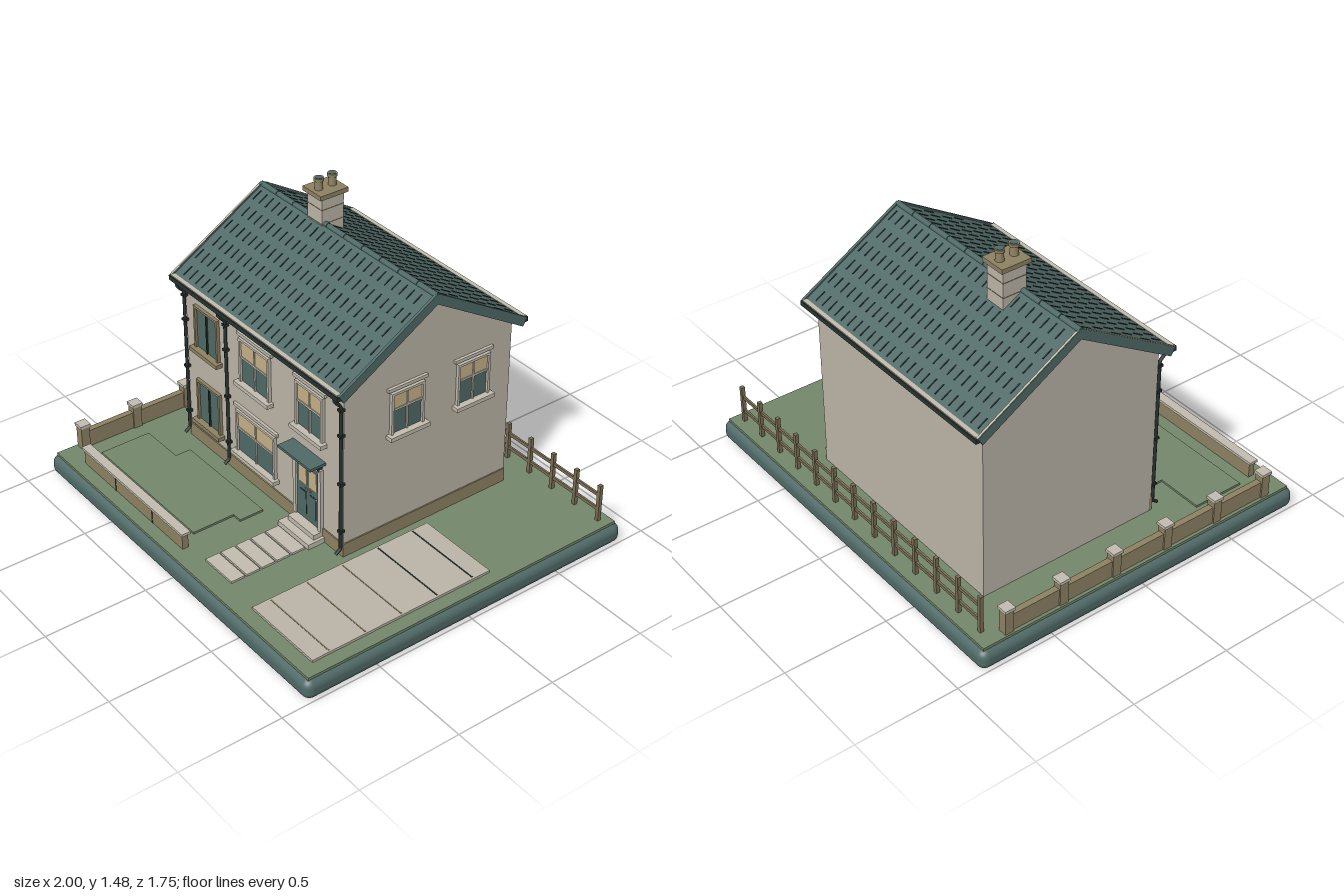
import * as THREE from 'three';
import { RoundedBoxGeometry } from 'three/addons/geometries/RoundedBoxGeometry.js';

const mat = (name, color) => Object.assign(new THREE.MeshStandardMaterial({ color }), { name });
const wallMat = mat('render', 0xbcb5a8);
const trimMat = mat('pale stone', 0xc3bdb0);
const slate = mat('slate', 0x506a67);
const dark = mat('dark iron', 0x27332f);
const grassMat = mat('grass', 0x74876a);
const brown = mat('brown stone', 0x8d8263);
const cream = mat('cream blind', 0xc6b088);
const wood = mat('fence wood', 0x7a6f55);

function add(parent, name, geo, material, x = 0, y = 0, z = 0) {
  const m = new THREE.Mesh(geo, material);
  m.name = name;
  m.position.set(x, y, z);
  parent.add(m);
  return m;
}
// box given by its limits on each axis
function box(parent, name, material, x0, x1, y0, y1, z0, z1) {
  return add(parent, name, new THREE.BoxGeometry(x1 - x0, y1 - y0, z1 - z0), material,
    (x0 + x1) / 2, (y0 + y1) / 2, (z0 + z1) / 2);
}
function group(parent, name, x = 0, y = 0, z = 0) {
  const g = new THREE.Group();
  g.name = name;
  g.position.set(x, y, z);
  parent.add(g);
  return g;
}

const G = 0.11;                          // ground level
const RIDGE_Y = 1.28, RIDGE_Z = -0.2;
const PITCH = Math.atan(0.305 / 0.51);

// window facing +z, origin at the middle of its bottom edge
function windowUnit(parent, name, x, y, z, w, h, blind, edge = trimMat) {
  const g = group(parent, name, x, y, z), r = w / 2, t = 0.012;
  box(g, 'glass', slate, -r, r, 0, h, 0, 0.004);
  if (blind) box(g, 'blind', cream, -r, r, h * (1 - blind), h, 0.003, 0.007);
  for (const s of [-1, 1]) box(g, 'jamb', edge, s * r - t / 2, s * r + t / 2, 0, h, 0, 0.016);
  box(g, 'head', edge, -r - t / 2, r + t / 2, h - t / 2, h + t / 2, 0, 0.016);
  box(g, 'mullion', blind ? trimMat : dark, -0.004, 0.004, 0, h, 0.002, 0.011);
  if (blind) {
    box(g, 'transom', trimMat, -r, r, h * (1 - blind) - 0.005, h * (1 - blind) + 0.005, 0.002, 0.011);
    box(g, 'lintel', trimMat, -r - 0.022, r + 0.022, h + 0.017, h + 0.033, 0, 0.014);
  }
  box(g, 'sill', edge, -r - 0.022, r + 0.022, -0.018, 0.002, 0, 0.036);
  return g;
}

function buildGround(root) {
  const g = group(root, 'ground');
  add(g, 'base', new RoundedBoxGeometry(2, 0.1, 1.75, 4, 0.04), slate, 0, 0.05, 0);
  box(g, 'grass', grassMat, -0.975, 0.975, 0.09, G, -0.85, 0.85);
  // raised lawn with a stepped outline
  const pts = [[-0.84, 0.69], [-0.08, 0.69], [-0.08, 0.475], [-0.03, 0.475], [-0.03, 0.35], [-0.61, 0.35], [-0.61, 0.43], [-0.84, 0.43]];
  const s = new THREE.Shape(pts.map(([x, z]) => new THREE.Vector2(x, -z)));
  add(g, 'lawn', new THREE.ExtrudeGeometry(s, { depth: 0.01, bevelEnabled: false }).rotateX(-Math.PI / 2), grassMat, 0, G, 0);
  // driveway with joints
  box(g, 'driveway', wallMat, 0.49, 0.91, G, 0.122, -0.17, 0.78);
  for (const z of [-0.08, 0.115]) box(g, 'drivewayJoint', dark, 0.5, 0.9, 0.12, 0.124, z - 0.003, z + 0.003);
  for (const z of [0.31, 0.5, 0.69]) box(g, 'drivewayJoint', brown, 0.5, 0.9, 0.12, 0.124, z - 0.003, z + 0.003);
  // path slabs and door steps
  for (let i = 0; i < 5; i++) {
    const z = 0.363 + i * 0.08;
    box(g, 'pathSlab', trimMat, 0.105, 0.3, G, 0.12, z, z + 0.07);
  }
  box(g, 'lowerStep', trimMat, 0.09, 0.315, G, 0.135, 0.25, 0.355);
  box(g, 'upperStep', trimMat, 0.11, 0.3, G, 0.16, 0.25, 0.315);
}

function buildBoundaries(root) {
  // front garden wall
  const f = group(root, 'frontGardenWall');
  box(f, 'wall', brown, -0.825, -0.02, G, 0.185, 0.757, 0.788);
  box(f, 'coping', trimMat, -0.835, -0.01, 0.185, 0.198, 0.75, 0.795);
  for (const x of [-0.56, -0.26]) box(f, 'joint', dark, x - 0.003, x + 0.003, G, 0.185, 0.786, 0.79);
  // left wall with capped pillars
  const l = group(root, 'sideWall');
  box(l, 'wall', brown, -0.96, -0.93, G, 0.195, -0.71, 0.72);
  for (let i = 0; i < 6; i++) {
    const z = -0.71 + i * 0.286;
    box(l, 'pillar', brown, -0.967, -0.923, G, 0.225, z - 0.022, z + 0.022);
    box(l, 'pillarCap', trimMat, -0.972, -0.918, 0.225, 0.24, z - 0.027, z + 0.027);
  }
  // back fence
  const b = group(root, 'backFence');
  for (let i = 0; i < 13; i++) {
    const x = -0.885 + i * 0.1505;
    box(b, 'post', wood, x - 0.009, x + 0.009, G, 0.3, -0.805, -0.787);
  }
  for (const y of [0.17, 0.245]) box(b, 'rail', wood, -0.89, 0.925, y - 0.008, y + 0.008, -0.8, -0.79);
}

function buildWalls(house) {
  // pentagonal end profile extruded along the length, in two bays
  const s = new THREE.Shape();
  [[-0.26, G], [0.66, G], [0.66, 0.97], [0.2, 1.245], [-0.26, 0.97]].forEach(([u, y], i) => (i ? s.lineTo(u, y) : s.moveTo(u, y)));
  for (const [x0, x1, name] of [[-0.727, -0.4, 'leftBay'], [-0.4, 0.44, 'mainBay']]) {
    const geo = new THREE.ExtrudeGeometry(s, { depth: x1 - x0, bevelEnabled: false }).rotateY(Math.PI / 2);
    add(house, name, geo, wallMat, x0, 0, 0);
  }
  box(house, 'frontPlinth', brown, -0.727, 0.445, G, 0.178, 0.25, 0.266);
  box(house, 'sidePlinth', brown, 0.43, 0.446, G, 0.178, -0.66, 0.266);
}

function buildRoof(house) {
  const L = 0.594, W = 1.24, roof = group(house, 'roof', -0.145, RIDGE_Y, RIDGE_Z);
  for (const front of [true, false]) {
    const side = group(roof, front ? 'frontSlope' : 'backSlope');
    if (!front) side.rotation.y = Math.PI;
    const g = group(side, 'slope');
    g.rotation.x = PITCH;
    box(g, 'slates', slate, -W / 2, W / 2, -0.03, 0, 0, L);
    // staggered joints between slates
    for (let r = 0; r < 6; r++) for (let c = 0; c < 25; c++) {
      const x = -0.585 + c * 0.0475 + (r % 2) * 0.0237, z = 0.035 + r * 0.094;
      box(g, 'slateJoint', dark, x - 0.003, x + 0.003, 0, 0.003, z, z + 0.055);
    }
    for (const s of [-1, 1]) {
      const x = s * (W / 2 - 0.003);
      box(g, 'verge', slate, x - 0.007, x + 0.007, -0.038, 0.007, 0, L);
      if ((s < 0) === front) box(g, 'vergeFlashing', trimMat, x - 0.005, x + 0.005, 0.006, 0.009, 0.02, L);
    }
    // eaves gutter
    box(side, 'gutter', dark, -W / 2, W / 2, -0.323, -0.3, 0.487, 0.522);
    box(side, 'gutterLining', trimMat, -W / 2 + 0.01, W / 2 - 0.01, -0.301, -0.295, 0.496, 0.517);
  }
  for (let i = 0; i < 10; i++) {
    const x = -W / 2 + i * W / 10;
    const m = add(roof, 'ridgeTile', new THREE.CylinderGeometry(0.014, 0.014, W / 10 - 0.004, 8), slate, x + W / 20, -0.006, 0);
    m.rotation.z = Math.PI / 2;
  }
}

function buildChimney(house) {
  const g = group(house, 'chimney', -0.345, 0, -0.242);
  box(g, 'stack', wallMat, -0.053, 0.053, 1.18, 1.405, -0.06, 0.06);
  for (const y of [1.275, 1.345]) box(g, 'course', brown, -0.0545, 0.0545, y - 0.002, y + 0.002, -0.0615, 0.0615);
  box(g, 'cap', brown, -0.066, 0.066, 1.402, 1.424, -0.076, 0.076);
  for (const z of [-0.037, 0.037]) {
    add(g, 'pot', new THREE.CylinderGeometry(0.017, 0.02, 0.045, 14), brown, 0, 1.446, z);
    add(g, 'potRim', new THREE.CylinderGeometry(0.023, 0.023, 0.014, 14), brown, 0, 1.473, z);
    add(g, 'potOpening', new THREE.CylinderGeometry(0.017, 0.017, 0.002, 14), slate, 0, 1.481, z);
  }
}

function buildDoor(house) {
  const g = group(house, 'frontDoor', 0.2, 0.16, 0.26);
  box(g, 'door', slate, -0.08, 0.08, 0, 0.315, 0, 0.008);
  for (const s of [-1, 1]) {
    box(g, 'jamb', trimMat, s * 0.09 - 0.01, s * 0.09 + 0.01, 0, 0.325, 0, 0.018);
    box(g, 'doorPane', cream, s * 0.036 - 0.026, s * 0.036 + 0.026, 0.19, 0.285, 0.007, 0.011);
    box(g, 'doorPanel', dark, s * 0.036 - 0.024, s * 0.036 + 0.024, 0.03, 0.15, 0.007, 0.009);
    box(g, 'panelField', slate, s * 0.036 - 0.021, s * 0.036 + 0.021, 0.033, 0.147, 0.008, 0.011);
    box(g, 'canopyBracket', dark, s * 0.085 - 0.006, s * 0.085 + 0.006, 0.32, 0.365, 0, 0.02);
    const strut = box(g, 'canopyStrut', dark, s * 0.085 - 0.005, s * 0.085 + 0.005, 0.34, 0.35, 0, 0.07);
    strut.rotation.x = -0.5;
  }
  box(g, 'doorHead', trimMat, -0.1, 0.1, 0.313, 0.33, 0, 0.018);
  box(g, 'letterSlot', brown, -0.018, 0.018, 0.163, 0.172, 0.007, 0.013);
  add(g, 'doorKnob', new THREE.SphereGeometry(0.006, 10, 8), brown, 0.065, 0.15, 0.014);
  box(g, 'canopy', slate, -0.117, 0.117, 0.364, 0.377, 0, 0.085);
}

function buildPipes(house) {
  for (const x of [-0.722, -0.4, 0.437]) {
    const g = group(house, 'downpipe', x, 0, 0);
    const path = new THREE.CurvePath();
    const p = [[0.965, 0.308], [0.935, 0.308], [0.9, 0.273], [0.155, 0.273], [0.135, 0.3]].map(([y, z]) => new THREE.Vector3(0, y, z));
    for (let i = 1; i < p.length; i++) path.add(new THREE.LineCurve3(p[i - 1], p[i]));
    add(g, 'pipe', new THREE.TubeGeometry(path, 60, 0.008, 8), dark);
    for (const y of [0.25, 0.5, 0.75, 0.88]) box(g, 'pipeClip', dark, -0.012, 0.012, y - 0.006, y + 0.006, 0.258, 0.284);
  }
}

export function createModel() {
  const root = new THREE.Group();
  root.name = 'houseWithGarden';
  buildGround(root);
  buildBoundaries(root);
  const house = group(root, 'house');
  buildWalls(house);
  buildRoof(house);
  buildChimney(house);
  buildDoor(house);
  buildPipes(house);
  // front windows
  const z = 0.26;
  for (const y of [0.245, 0.642]) windowUnit(house, 'narrowWindow', -0.557, y, z, 0.172, 0.215, 0, brown);
  windowUnit(house, 'upperMiddleWindow', -0.187, 0.638, z, 0.212, 0.222, 0.42);
  windowUnit(house, 'upperRightWindow', 0.213, 0.638, z, 0.182, 0.222, 0.42);
  windowUnit(house, 'lowerMiddleWindow', -0.19, 0.242, z, 0.285, 0.22, 0.42);
  // gable windows
  for (const wz of [-0.075, -0.442]) windowUnit(house, 'gableWindow', 0.44, wz < -1 ? 0 : 0.65, wz, 0.17, 0.205, 0.4).rotation.y = Math.PI / 2;
  return root;
}
